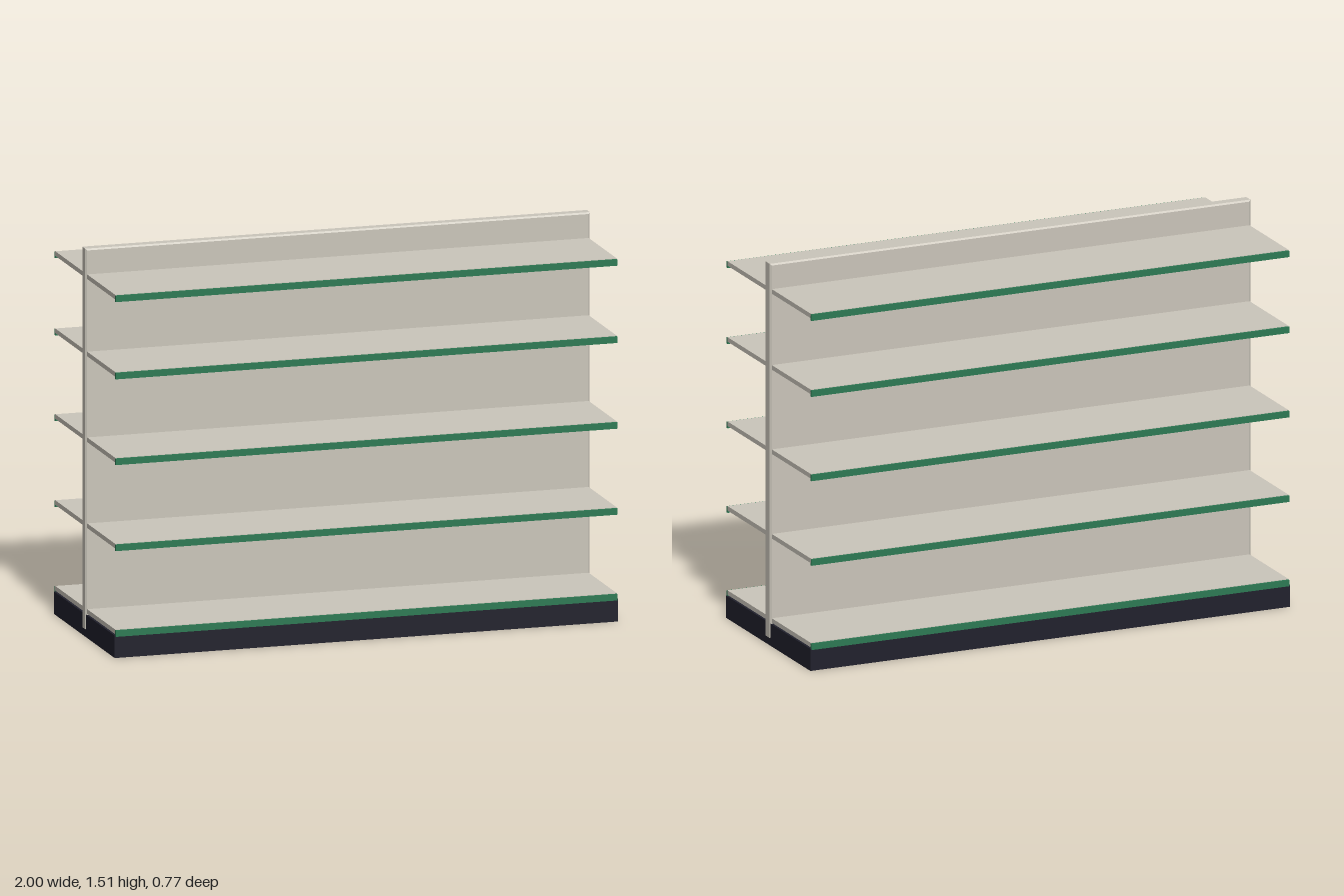
import * as THREE from 'three';

const material = (name, color) => Object.assign(new THREE.MeshStandardMaterial({ color }), { name });

export function createModel() {
  const model = new THREE.Group();
  model.name = 'doubleSidedShelfUnit';
  const beige = material('warm grey metal', 0xcbc6bb);
  const green = material('green edging', 0x2c7a54);
  const dark = material('dark plinth', 0x20202c);

  // Box given by its lower and upper limits in y and z
  function slab(name, mat, width, y0, y1, z0, z1) {
    const mesh = new THREE.Mesh(new THREE.BoxGeometry(width, y1 - y0, z1 - z0), mat);
    mesh.name = name;
    mesh.position.set(0, (y0 + y1) / 2, (z0 + z1) / 2);
    model.add(mesh);
  }

  // Plinth
  slab('base', dark, 1.996, 0, 0.087, -0.382, 0.382);

  // Central back panel with small chamfers
  const c = 0.006, bottom = 0.03, top = 1.508, half = 0.024;
  const outline = new THREE.Shape([
    new THREE.Vector2(-1 + c, bottom + c), new THREE.Vector2(1 - c, bottom + c),
    new THREE.Vector2(1 - c, top - c), new THREE.Vector2(-1 + c, top - c),
  ]);
  const panelGeometry = new THREE.ExtrudeGeometry(outline, {
    depth: 2 * (half - c), bevelThickness: c, bevelSize: c, bevelSegments: 1,
  });
  panelGeometry.translate(0, 0, -(half - c));
  const panel = new THREE.Mesh(panelGeometry, beige);
  panel.name = 'backPanel';
  model.add(panel);

  // Shelves and their green front strips, on both sides
  for (const y of [0.109, 0.442, 0.776, 1.109, 1.409]) {
    for (const side of [1, -1]) {
      const range = (a, b) => (side > 0 ? [a, b] : [-b, -a]);
      slab('shelf', beige, 1.988, y - 0.018, y, ...range(0.02, 0.376));
      slab('shelfEdgeStrip', green, 1.988, y - 0.027, y - 0.002, ...range(0.375, 0.383));
    }
  }
  return model;
}
